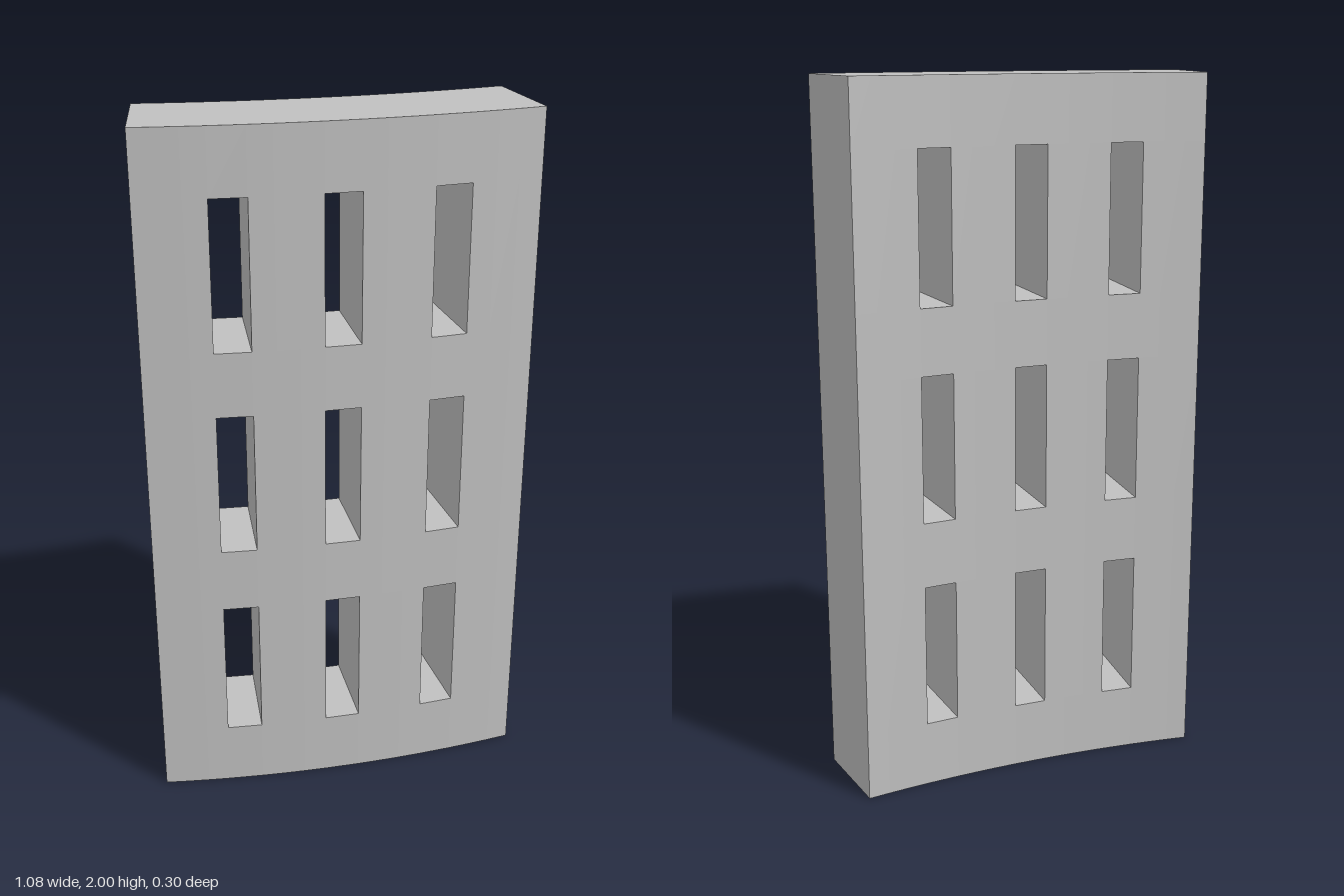
import * as THREE from 'three';

// Curved wall panel: a thick arc pierced by a 3 x 3 grid of radial slots.
const OUTER = 3.88, INNER = 3.616, CENTRE_Z = -3.73, HALF_ANGLE = 0.14;
const slotAngles = [[-0.0902, -0.0642], [-0.0135, 0.0124], [0.0629, 0.0889]];
const slotHeights = [[0.19, 0.607], [0.796, 1.212], [1.398, 1.816]];

// Break lines of the grid; the odd bands between them hold the slots.
const heights = [0, ...slotHeights.flat(), 2];
const angleBands = [-HALF_ANGLE, ...slotAngles.flat(), HALF_ANGLE];

// Subdivide each angular band so the wall follows its arc.
const columns = [];
for (let b = 0; b < angleBands.length - 1; b++) {
  const from = angleBands[b], to = angleBands[b + 1];
  const steps = b % 2 ? 1 : 3;
  for (let s = 0; s < steps; s++) {
    columns.push({
      a0: from + (to - from) * s / steps,
      a1: from + (to - from) * (s + 1) / steps,
      slot: b % 2 === 1,
    });
  }
}

function createWallGeometry() {
  const positions = [];
  const point = (radius, angle, y) => [radius * Math.sin(angle), y, CENTRE_Z + radius * Math.cos(angle)];
  const quad = (a, b, c, d) => positions.push(...a, ...b, ...c, ...a, ...c, ...d);
  const solid = (i, j) =>
    i >= 0 && i < columns.length && j >= 0 && j < heights.length - 1 &&
    !(columns[i].slot && j % 2 === 1);

  columns.forEach(({ a0, a1 }, i) => {
    for (let j = 0; j < heights.length - 1; j++) {
      if (!solid(i, j)) continue;
      const y0 = heights[j], y1 = heights[j + 1];
      const o00 = point(OUTER, a0, y0), o10 = point(OUTER, a1, y0);
      const o01 = point(OUTER, a0, y1), o11 = point(OUTER, a1, y1);
      const i00 = point(INNER, a0, y0), i10 = point(INNER, a1, y0);
      const i01 = point(INNER, a0, y1), i11 = point(INNER, a1, y1);
      // Convex front and concave back
      quad(o00, o10, o11, o01);
      quad(i10, i00, i01, i11);
      // Rim and slot linings, wherever the neighbouring cell is open
      if (!solid(i + 1, j)) quad(o10, i10, i11, o11);
      if (!solid(i - 1, j)) quad(i00, o00, o01, i01);
      if (!solid(i, j + 1)) quad(o01, o11, i11, i01);
      if (!solid(i, j - 1)) quad(i00, i10, o10, o00);
    }
  });

  const geometry = new THREE.BufferGeometry();
  geometry.setAttribute('position', new THREE.Float32BufferAttribute(positions, 3));
  geometry.computeVertexNormals();
  return geometry;
}

export function createModel() {
  const grey = new THREE.MeshStandardMaterial({ color: 0xc0c0c0 });
  grey.name = 'light grey';
  const wall = new THREE.Mesh(createWallGeometry(), grey);
  wall.name = 'slottedWall';
  const group = new THREE.Group();
  group.name = 'curvedWallPanel';
  group.add(wall);
  return group;
}
